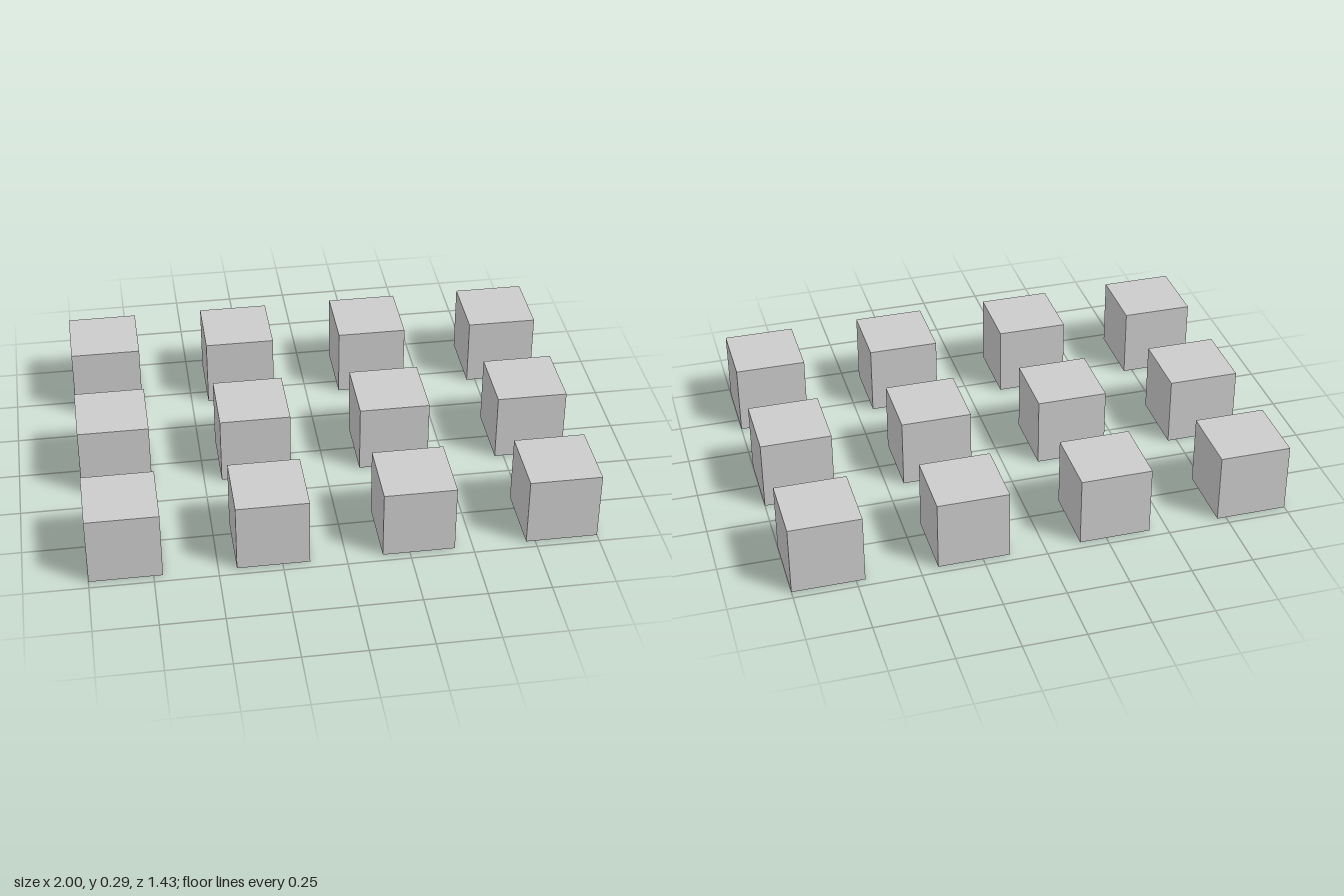
import * as THREE from 'three';

const COLUMNS = 4;
const ROWS = 3;
const SIZE = 2 / 7; // cube edge; gaps between cubes equal one edge
const PITCH = SIZE * 2;

export function createModel() {
  const model = new THREE.Group();
  model.name = 'cubeGrid';

  const geometry = new THREE.BoxGeometry(SIZE, SIZE, SIZE);
  const material = new THREE.MeshStandardMaterial({ color: 0xcccccc, flatShading: true });

  // Evenly spaced cubes standing on the ground, centred on the origin
  for (let row = 0; row < ROWS; row++) {
    for (let column = 0; column < COLUMNS; column++) {
      const cube = new THREE.Mesh(geometry, material);
      cube.name = `cubeRow${row + 1}Column${column + 1}`;
      cube.position.set(
        (column - (COLUMNS - 1) / 2) * PITCH,
        SIZE / 2,
        (row - (ROWS - 1) / 2) * PITCH
      );
      model.add(cube);
    }
  }
  return model;
}
